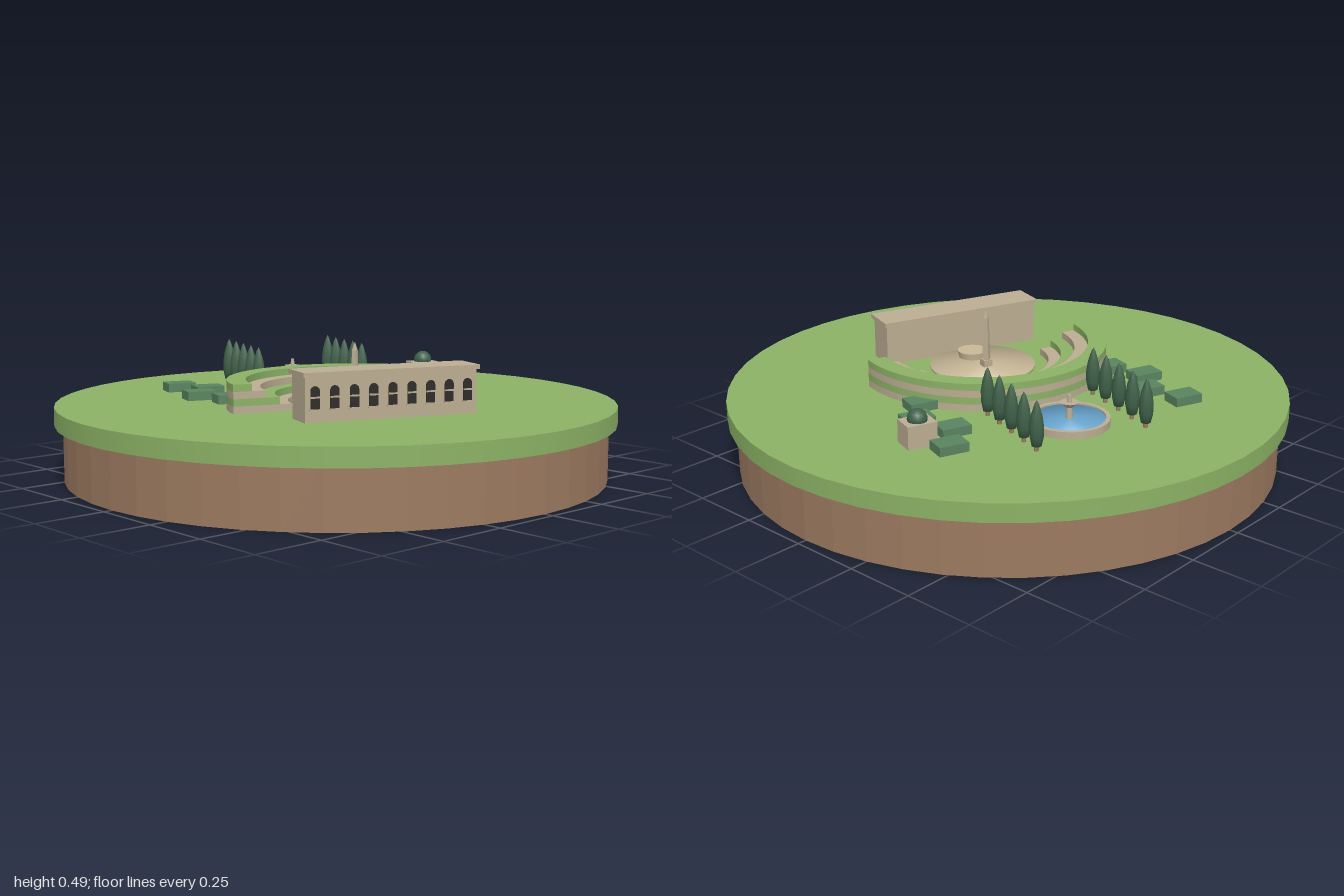
import * as THREE from 'three';

const mat = (name, color, extra = {}) => Object.assign(new THREE.MeshStandardMaterial({ color, ...extra }), { name });

export function createModel() {
  const M = {
    grass: mat('grass', 0x8bb265),
    earth: mat('earth', 0x9c7a60, { flatShading: true }),
    stone: mat('stone', 0xbbad92),
    sand: mat('sand', 0xc8b898),
    hedge: mat('hedge', 0x5a8460),
    cypress: mat('cypress', 0x3f6149),
    water: mat('water', 0x68a6d0),
    dark: mat('window dark', 0x2e2a2a),
  };
  const model = new THREE.Group();
  model.name = 'gardenIsland';

  const add = (parent, name, geo, material, x = 0, y = 0, z = 0) => {
    const mesh = new THREE.Mesh(geo, material);
    mesh.name = name;
    mesh.position.set(x, y, z);
    parent.add(mesh);
    return mesh;
  };
  const box = (w, h, d) => new THREE.BoxGeometry(w, h, d).translate(0, h / 2, 0);
  const cyl = (rt, rb, h, n = 32) => new THREE.CylinderGeometry(rt, rb, h, n).translate(0, h / 2, 0);
  const lathe = (pts, n) => new THREE.LatheGeometry(pts.map(p => new THREE.Vector2(...p)), n);

  // Low disc whose normals lean outwards at the rim, so it shades softly
  const softDisc = (r, h) => {
    const g = new THREE.CylinderGeometry(r, r, h, 32);
    const p = g.attributes.position, n = g.attributes.normal;
    const v = new THREE.Vector3();
    for (let i = 0; i < p.count; i++) {
      v.set(p.getX(i) / r, Math.sign(p.getY(i)), p.getZ(i) / r).normalize();
      n.setXYZ(i, v.x, v.y, v.z);
    }
    return g.translate(0, h / 2, 0);
  };

  // Half ring on the garden side, used for the terraced seats
  const halfRing = (inner, outer, h) => {
    const s = new THREE.Shape();
    s.absarc(0, 0, outer, 0, Math.PI, false);
    s.absarc(0, 0, inner, Math.PI, 0, true);
    s.closePath();
    return new THREE.ExtrudeGeometry(s, { depth: h, bevelEnabled: false, curveSegments: 32 }).rotateX(-Math.PI / 2);
  };

  // Ground
  add(model, 'earthBase', cyl(0.97, 0.97, 0.2, 48), M.earth);
  add(model, 'lawn', cyl(1, 1, 0.065, 48), M.grass, 0, 0.2, 0);

  // The whole garden lies on one axis, turned by twenty degrees
  const garden = new THREE.Group();
  garden.name = 'garden';
  garden.position.set(-0.07, 0.265, 0.19);
  garden.rotation.y = -Math.PI / 9;
  model.add(garden);

  // Amphitheatre: alternating stone and grass terraces
  [0.245, 0.29, 0.34, 0.39].forEach((r, i) =>
    add(garden, 'terrace' + (i + 1), halfRing(r, 0.457, 0.025), i % 2 ? M.grass : M.stone, 0, i * 0.025, 0));

  // Arena floor with a basin and an obelisk
  add(garden, 'arenaFloor', softDisc(0.195, 0.01), M.sand);
  add(garden, 'arenaBasin', cyl(0.055, 0.05, 0.025), M.sand, 0, 0.01, 0.085);
  const obelisk = new THREE.Group();
  obelisk.name = 'obelisk';
  obelisk.position.set(0, 0.01, -0.03);
  garden.add(obelisk);
  add(obelisk, 'obeliskBase', box(0.035, 0.025, 0.035), M.stone);
  add(obelisk, 'obeliskShaft', cyl(0.011, 0.017, 0.16, 4).toNonIndexed(), M.stone, 0, 0.025, 0).geometry.computeVertexNormals();
  add(obelisk, 'obeliskTip', cyl(0, 0.011, 0.03, 4).toNonIndexed(), M.stone, 0, 0.185, 0).geometry.computeVertexNormals();

  // Palace with a row of arched windows on its front
  const palace = new THREE.Group();
  palace.name = 'palace';
  palace.position.z = 0.226;
  garden.add(palace);
  add(palace, 'palaceWalls', box(0.62, 0.15, 0.115), M.stone);
  add(palace, 'palaceRoof', box(0.637, 0.015, 0.135), M.stone, 0, 0.15, 0);
  const arch = new THREE.Shape();
  arch.moveTo(-0.016, 0);
  arch.lineTo(0.016, 0);
  arch.lineTo(0.016, 0.059);
  arch.absarc(0, 0.059, 0.016, 0, Math.PI, false);
  arch.closePath();
  const archGeo = new THREE.ExtrudeGeometry(arch, { depth: 0.004, bevelEnabled: false, curveSegments: 6 });
  for (let i = -4; i <= 4; i++) {
    const x = i * 0.069;
    add(palace, 'window', archGeo, M.dark, x, 0.045, 0.0575);
    add(palace, 'windowBar', box(0.032, 0.006, 0.006), M.stone, x, 0.08, 0.0595);
    add(palace, 'windowSill', box(0.04, 0.005, 0.008), M.stone, x, 0.04, 0.0605);
  }

  // Fountain
  const fountain = new THREE.Group();
  fountain.name = 'fountain';
  fountain.position.z = -0.637;
  garden.add(fountain);
  add(fountain, 'fountainRim', lathe([[0.139, 0], [0.139, 0.026], [0.139, 0.026], [0.124, 0.026], [0.124, 0.026], [0.124, 0]], 32), M.stone);
  add(fountain, 'fountainWater', softDisc(0.125, 0.02), M.water);
  add(fountain, 'fountainStem', cyl(0.009, 0.014, 0.07, 12), M.stone);
  add(fountain, 'fountainBowl', cyl(0.032, 0.012, 0.018, 16), M.stone, 0, 0.06, 0);
  add(fountain, 'fountainJet', cyl(0.006, 0.009, 0.025, 8), M.stone, 0, 0.078, 0);

  // Mirrored cypress rows and staggered hedges
  const cypressGeo = lathe([[0, 0.015], [0.017, 0.018], [0.024, 0.05], [0.025, 0.085], [0.019, 0.125], [0.008, 0.16], [0, 0.175]], 8);
  const trunkGeo = cyl(0.008, 0.008, 0.02, 6);
  const hedgeGeo = box(0.105, 0.032, 0.077);
  for (const side of [-1, 1]) {
    for (let i = 0; i < 5; i++) {
      const z = -0.785 + i * 0.085;
      add(garden, 'cypress', cypressGeo, M.cypress, side * 0.208, 0, z);
      add(garden, 'cypressTrunk', trunkGeo, M.earth, side * 0.208, 0, z);
    }
    for (let i = 0; i < 4; i++)
      add(garden, 'hedge', hedgeGeo, M.hedge, side * (i % 2 ? 0.38 : 0.452), 0, -0.65 + i * 0.125);
  }

  // Small pavilion with a green dome
  add(garden, 'pavilion', box(0.105, 0.08, 0.083), M.stone, 0.518, 0, -0.55);
  add(garden, 'pavilionDome', new THREE.SphereGeometry(0.034, 16, 10), M.cypress, 0.518, 0.087, -0.55);

  return model;
}
